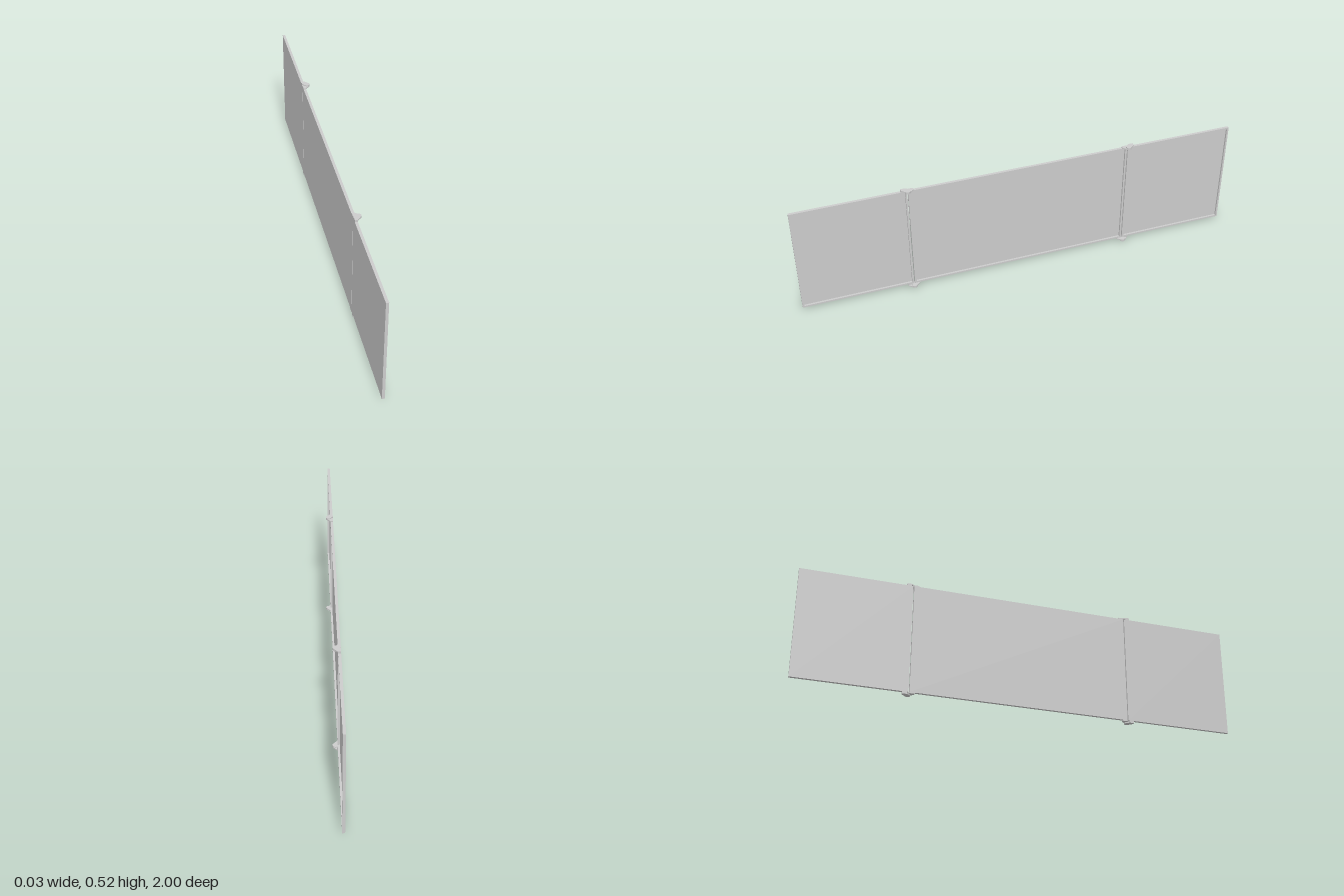
import * as THREE from 'three';

const grey = new THREE.MeshStandardMaterial({ color: 0xcccccc, flatShading: true });
const BACK = -0.017, FRONT = -0.005, BOTTOM = 0.01, TOP = 0.514;

function box(name, x0, x1, y0, y1, z0, z1) {
  const m = new THREE.Mesh(new THREE.BoxGeometry(x1 - x0, y1 - y0, z1 - z0), grey);
  m.position.set((x0 + x1) / 2, (y0 + y1) / 2, (z0 + z1) / 2);
  m.name = name;
  return m;
}

// Shallow tray: a thin sheet with a raised rim on its +x side
function panel(name, z0, z1) {
  const g = new THREE.Group(), rim = 0.008, sheet = BACK + 0.003;
  g.name = name;
  g.add(
    box('sheet', BACK, sheet, BOTTOM, TOP, z0, z1),
    box('bottomRim', sheet, FRONT, BOTTOM, BOTTOM + rim, z0, z1),
    box('topRim', sheet, FRONT, TOP - rim, TOP, z0, z1),
    box('frontRim', sheet, FRONT, BOTTOM + rim, TOP - rim, z1 - rim, z1),
    box('backRim', sheet, FRONT, BOTTOM + rim, TOP - rim, z0, z0 + rim)
  );
  return g;
}

// Flat arm from a panel edge to a round end about the pivot
function hingeArm(name, pivotZ, dir, y0, thickness) {
  const r = 0.012, px = 0.004;
  const s = new THREE.Shape();
  s.moveTo(BACK, dir * 0.027);
  s.lineTo(FRONT, dir * 0.027);
  s.lineTo(px + r * 0.6, dir * r * 0.8);
  const a = Math.atan2(dir * 0.8, 0.6);
  s.absarc(px, 0, r, a, dir * -Math.PI * 0.75, dir > 0);
  s.lineTo(BACK, dir * 0.006);
  const geo = new THREE.ExtrudeGeometry(s, { depth: thickness, bevelEnabled: false, curveSegments: 16 });
  geo.rotateX(Math.PI / 2); // shape y becomes z, depth runs down
  const m = new THREE.Mesh(geo, grey);
  m.position.set(0, y0 + thickness, pivotZ);
  m.name = name;
  return m;
}

export function createModel() {
  const model = new THREE.Group();
  model.name = 'foldingPanel';
  model.add(
    panel('frontPanel', 0.502, 1),
    panel('centrePanel', -0.498, 0.498),
    panel('backPanel', -1, -0.502)
  );

  // Stacked hinge arms above and below both joints
  for (const side of [1, -1]) {
    for (const top of [true, false]) {
      const hinge = new THREE.Group();
      hinge.name = (side > 0 ? 'front' : 'back') + (top ? 'Top' : 'Bottom') + 'Hinge';
      const inner = top ? TOP : BOTTOM - 0.005;
      const outer = top ? TOP + 0.005 : 0;
      const pivot = side * 0.502;
      hinge.add(
        hingeArm('centreArm', pivot, -side, inner, 0.005),
        hingeArm('sideArm', pivot, side, outer, 0.005),
        // Spacer joining the outer arm to its panel
        box('spacer', BACK, FRONT, inner, inner + 0.005, pivot + side * 0.017 - 0.01, pivot + side * 0.017 + 0.01)
      );
      model.add(hinge);
    }
  }
  return model;
}
